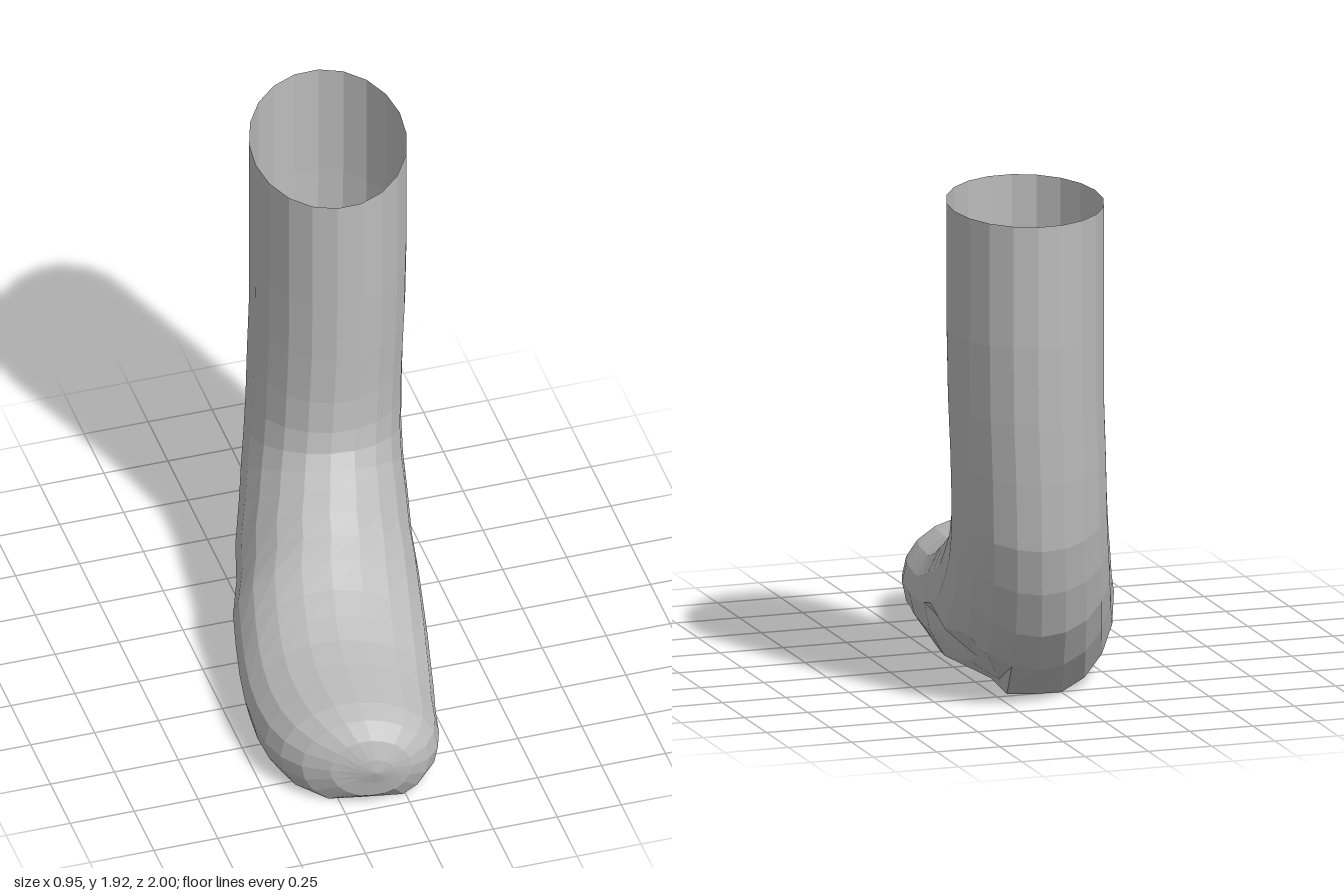
import * as THREE from 'three';

const SIDES = 20;

// Cross-sections from the opening to the toe:
// [front z, front y, back z, back y, centre x, half width]
const SECTIONS = [
  [-0.17, 1.92, -1.0, 1.92, 0.17, 0.29],
  [-0.17, 1.45, -1.0, 1.45, 0.17, 0.29],
  [-0.17, 1.2, -0.99, 1.15, 0.165, 0.288],
  [-0.17, 1.0, -0.98, 0.92, 0.155, 0.287],
  [-0.16, 0.87, -0.96, 0.66, 0.145, 0.287],
  [-0.14, 0.79, -0.91, 0.48, 0.13, 0.29],
  [-0.1, 0.74, -0.83, 0.3, 0.11, 0.298],
  [-0.04, 0.7, -0.7, 0.14, 0.085, 0.31],
  [0.03, 0.655, -0.5, -0.02, 0.045, 0.325],
  [0.1, 0.6, -0.28, -0.08, 0.015, 0.335],
  [0.18, 0.55, -0.05, -0.1, -0.03, 0.35],
  [0.28, 0.485, 0.15, -0.1, -0.062, 0.353],
  [0.38, 0.44, 0.33, -0.1, -0.092, 0.352],
  [0.48, 0.405, 0.48, -0.1, -0.115, 0.348],
  [0.6, 0.388, 0.62, -0.1, -0.135, 0.336],
  [0.72, 0.378, 0.74, -0.1, -0.142, 0.32],
  [0.82, 0.37, 0.84, -0.08, -0.145, 0.29],
  [0.9, 0.345, 0.92, -0.04, -0.145, 0.235],
  [0.96, 0.29, 0.97, 0.04, -0.14, 0.15],
  [0.99, 0.22, 0.985, 0.11, -0.13, 0.07],
];

// One point of a slanted elliptical section, flattened against the ground
function sectionPoint([fz, fy, bz, by, cx, w], angle) {
  const c = Math.cos(angle), s = Math.sin(angle);
  const along = ((fz - bz) / 2) * c;
  let x = cx + w * s - 0.22 * along; // foot turns slightly to its right
  const y = Math.max(0, (fy + by) / 2 + ((fy - by) / 2) * c);
  const z = (fz + bz) / 2 + along + 0.2 * w * s;
  // shallow dent low on the left side of the instep
  if (s > 0.2 && y < 0.17 && z > -0.46 && z < 0) x -= 0.07;
  return [x, y, z];
}

function bootGeometry() {
  const positions = [], index = [];
  for (const section of SECTIONS) {
    for (let j = 0; j < SIDES; j++) {
      positions.push(...sectionPoint(section, (j / SIDES) * Math.PI * 2));
    }
  }
  const last = SECTIONS.length - 1;
  for (let i = 0; i < last; i++) {
    for (let j = 0; j < SIDES; j++) {
      const a = i * SIDES + j, b = i * SIDES + ((j + 1) % SIDES);
      const c = a + SIDES, d = b + SIDES;
      index.push(a, c, b, b, c, d);
    }
  }
  // toe tip
  const tip = positions.length / 3;
  positions.push(-0.13, 0.165, 1.0);
  for (let j = 0; j < SIDES; j++) {
    index.push(last * SIDES + j, tip, last * SIDES + ((j + 1) % SIDES));
  }
  const geometry = new THREE.BufferGeometry();
  geometry.setAttribute('position', new THREE.Float32BufferAttribute(positions, 3));
  geometry.setIndex(index);
  geometry.computeVertexNormals();
  return geometry;
}

export function createModel() {
  const grey = new THREE.MeshStandardMaterial({ color: 0xbcbcbc });
  grey.name = 'grey';
  grey.flatShading = true;
  grey.side = THREE.DoubleSide; // open, thin shell

  const boot = new THREE.Mesh(bootGeometry(), grey);
  boot.name = 'bootShell';

  const model = new THREE.Group();
  model.name = 'boot';
  model.add(boot);
  return model;
}
